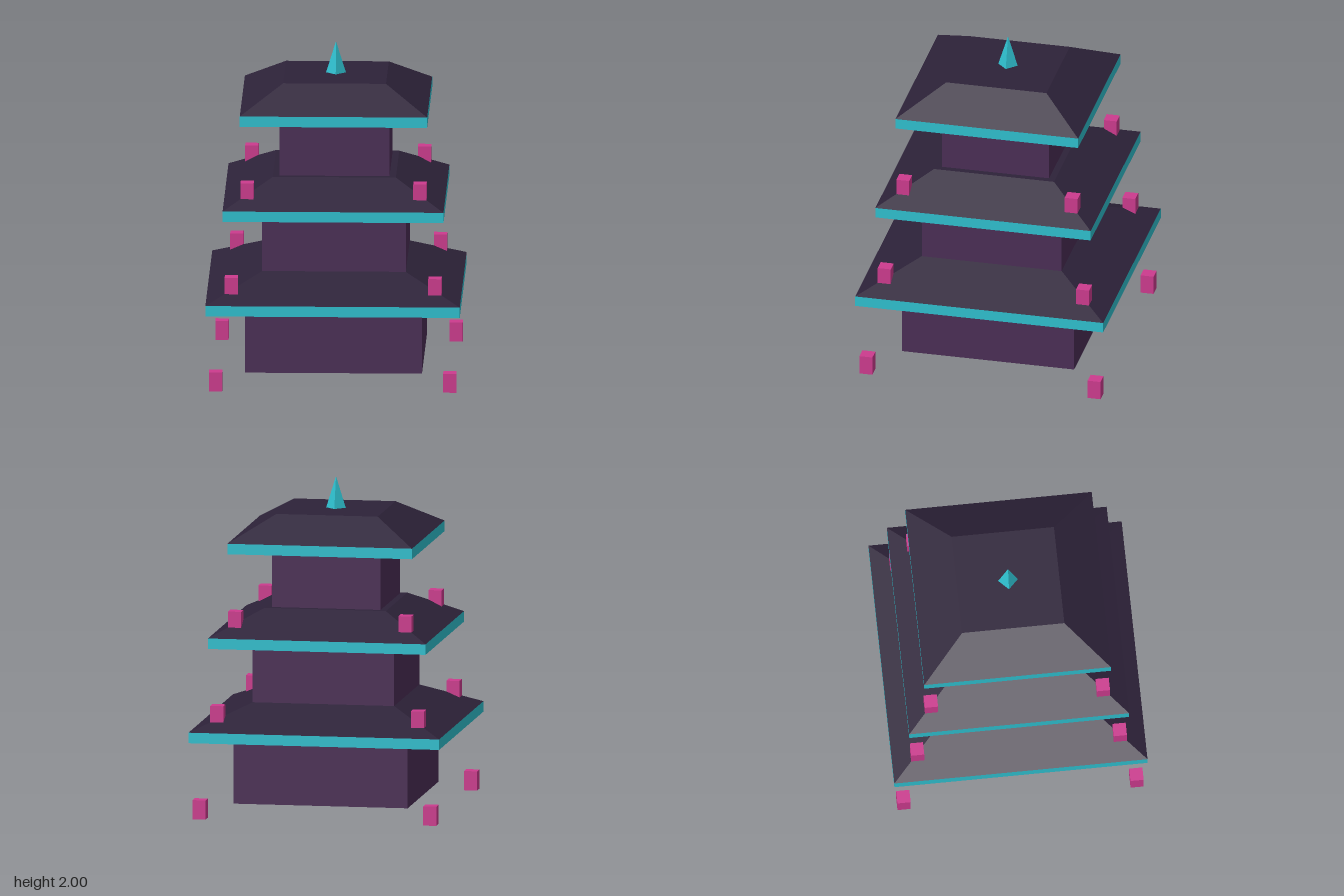
import * as THREE from 'three';

const wallMat = new THREE.MeshStandardMaterial({ color: 0x4a2d55 });
wallMat.name = 'plum wall';
const roofMat = new THREE.MeshStandardMaterial({ color: 0x2d2239 });
roofMat.name = 'dark roof';
const trimMat = new THREE.MeshStandardMaterial({ color: 0x2ebfce });
trimMat.name = 'turquoise trim';
const lanternMat = new THREE.MeshStandardMaterial({ color: 0xcc3b8e });
lanternMat.name = 'pink lantern';

// Each storey: half widths and heights of wall, eave and roof, and its corner lanterns
const tiers = [
  { wall: 0.533, eave: 0.767, ridge: 0.433, y: [0.069, 0.467, 0.531, 0.675], lantern: 0.706, lanternY: 0 },
  { wall: 0.433, eave: 0.666, ridge: 0.371, y: [0.675, 1.029, 1.093, 1.243], lantern: 0.614, lanternY: 0.563 },
  { wall: 0.332, eave: 0.565, ridge: 0.31, y: [1.243, 1.594, 1.658, 1.808], lantern: 0.521, lanternY: 1.127 },
];

function flat(geometry) {
  const g = geometry.toNonIndexed();
  g.computeVertexNormals();
  return g;
}

function add(parent, name, geometry, material, x, y, z) {
  const mesh = new THREE.Mesh(geometry, material);
  mesh.name = name;
  mesh.position.set(x, y, z);
  parent.add(mesh);
}

// Square slab between two heights
function slab(parent, name, half, y0, y1, material) {
  add(parent, name, new THREE.BoxGeometry(2 * half, y1 - y0, 2 * half), material, 0, (y0 + y1) / 2, 0);
}

export function createModel() {
  const model = new THREE.Group();
  model.name = 'pagoda';
  const lanternGeo = new THREE.BoxGeometry(0.08, 0.117, 0.08);

  tiers.forEach((t, i) => {
    const storey = new THREE.Group();
    storey.name = `storey${i + 1}`;
    model.add(storey);
    const [base, eaveY, roofY, topY] = t.y;

    slab(storey, 'wall', t.wall, base, eaveY, wallMat);
    slab(storey, 'eave', t.eave, eaveY, roofY, trimMat);

    // Hipped roof with a flat top
    const roof = new THREE.CylinderGeometry(t.ridge * Math.SQRT2, t.eave * Math.SQRT2, topY - roofY, 4);
    roof.rotateY(Math.PI / 4);
    add(storey, 'roof', flat(roof), roofMat, 0, (roofY + topY) / 2, 0);

    // Lanterns at the four corners
    for (const sx of [-1, 1]) {
      for (const sz of [-1, 1]) {
        add(storey, 'lantern', lanternGeo, lanternMat, sx * t.lantern, t.lanternY + 0.0585, sz * t.lantern);
      }
    }
  });

  // Four-sided spire, corners along the axes
  add(model, 'spire', flat(new THREE.ConeGeometry(0.06, 0.192, 4)), trimMat, 0, 1.904, 0);
  return model;
}
